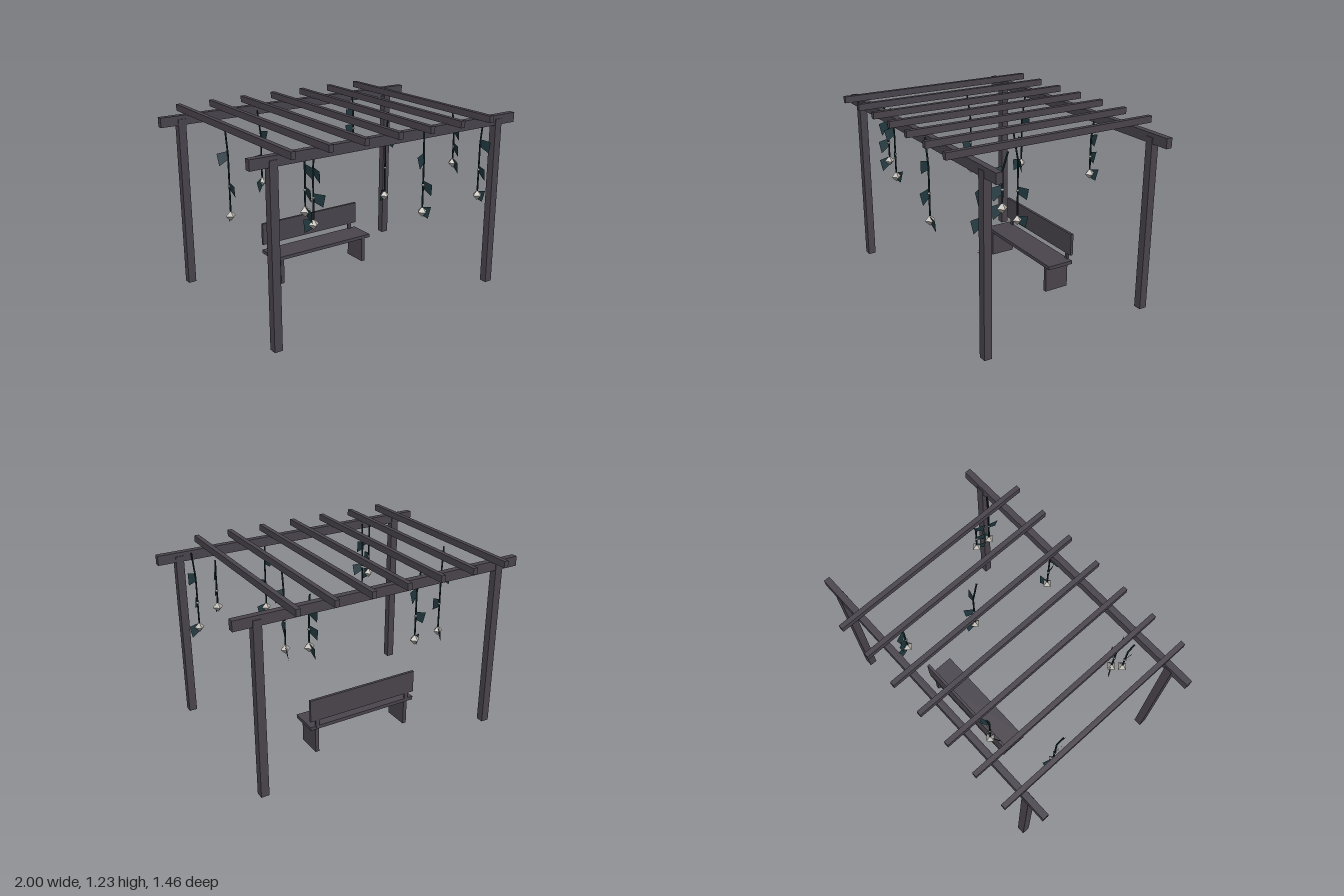
import * as THREE from 'three';

const wood = new THREE.MeshStandardMaterial({ name: 'dark wood', color: 0x4a454d });
const stemMat = new THREE.MeshStandardMaterial({ name: 'vine stem', color: 0x14272b });
const leafMat = new THREE.MeshStandardMaterial({ name: 'leaf teal', color: 0x20383f, side: THREE.DoubleSide });
const petal = new THREE.MeshStandardMaterial({ name: 'pale blossom', color: 0xb8b4ae, flatShading: true });

// Box given by its minimum and maximum corners
function box(parent, name, [x0, y0, z0], [x1, y1, z1]) {
  const mesh = new THREE.Mesh(new THREE.BoxGeometry(x1 - x0, y1 - y0, z1 - z0), wood);
  mesh.position.set((x0 + x1) / 2, (y0 + y1) / 2, (z0 + z1) / 2);
  mesh.name = name;
  parent.add(mesh);
}

// Flared leaf blade: short edge on the stem, tall edge outside
const blade = new THREE.Shape([
  new THREE.Vector2(0, 0.03), new THREE.Vector2(0.072, 0.015),
  new THREE.Vector2(0.058, -0.065), new THREE.Vector2(0, -0.025),
]);

// A vine drops from the roof, bends a third of the way down and ends in a blossom.
// Leaves sit at each third, turned to the headings (degrees, from top to bottom).
function makeVine(x, y, z, topDx, topDz, headings) {
  const vine = new THREE.Group();
  vine.name = 'hangingVine';
  const add = (name, geometry, material) => {
    const mesh = new THREE.Mesh(geometry, material);
    mesh.name = name;
    vine.add(mesh);
    return mesh;
  };
  const third = (1.18 - y) / 3;
  const top = new THREE.Vector3(x + topDx, 1.18, z + topDz);
  const kink = new THREE.Vector3(x, y + 2 * third, z);
  const end = new THREE.Vector3(x, y, z);

  const path = new THREE.CurvePath();
  path.add(new THREE.LineCurve3(top, kink));
  path.add(new THREE.LineCurve3(kink, end));
  add('stem', new THREE.TubeGeometry(path, 12, 0.006, 5), stemMat);

  headings.forEach((degrees, i) => {
    const leaf = add('leaf', new THREE.ShapeGeometry(blade), leafMat);
    leaf.position.set(x, y + (2 - i) * third, z);
    leaf.rotation.set(0.15, -THREE.MathUtils.degToRad(degrees), 0, 'YXZ');
  });

  // Eight-sided blossom and a small bud at the middle leaf
  add('blossom', new THREE.OctahedronGeometry(0.036), petal).position.copy(end);
  add('bud', new THREE.OctahedronGeometry(0.014), petal).position.set(x, y + third, z);
  return vine;
}

export function createModel() {
  const model = new THREE.Group();
  model.name = 'pergola';

  // Posts and long beams
  for (const z of [-0.588, 0.588]) {
    for (const x of [-0.853, 0.853]) box(model, 'post', [x - 0.027, 0, z - 0.026], [x + 0.027, 1.165, z + 0.026]);
    box(model, 'longBeam', [-1, 1.125, z - 0.021], [1, 1.19, z + 0.021]);
  }

  // Rafters across the top
  for (let i = 0; i < 7; i++) {
    const x = -0.8 + i * 0.244;
    box(model, 'rafter', [x - 0.016, 1.188, -0.732], [x + 0.016, 1.232, 0.732]);
  }

  // Bench
  const bench = new THREE.Group();
  bench.name = 'bench';
  box(bench, 'seat', [-0.4, 0.18, -0.363], [0.4, 0.204, -0.172]);
  box(bench, 'backrest', [-0.4, 0.245, -0.366], [0.4, 0.4, -0.347]);
  for (const x of [-0.347, 0.347]) {
    box(bench, 'benchLeg', [x - 0.013, 0, -0.354], [x + 0.013, 0.181, -0.178]);
    box(bench, 'backSupport', [x - 0.013, 0.19, -0.364], [x + 0.013, 0.25, -0.349]);
  }
  model.add(bench);

  // Hanging vines
  model.add(
    makeVine(-0.71, 0.57, -0.21, -0.025, 0.02, [205, 90, -68]),
    makeVine(-0.59, 0.79, 0.51, -0.015, 0.02, [80, 95, 90]),
    makeVine(-0.524, 0.69, 0.495, -0.005, 0.02, [90, 30, 243]),
    makeVine(-0.345, 0.68, -0.43, -0.005, -0.03, [-20, 190, 150]),
    makeVine(0.22, 0.65, 0.61, -0.015, 0.01, [163, 78, 0]),
    makeVine(0.355, 0.58, 0.055, -0.005, 0.035, [17, -47, -74]),
    makeVine(0.445, 0.83, -0.443, 0, -0.017, [252, 250, 270]),
    makeVine(0.685, 0.84, 0.375, 0.01, -0.032, [105, 105, 105]),
    makeVine(0.76, 0.64, 0.55, 0.015, 0.005, [63, 100, 0]),
  );
  return model;
}
